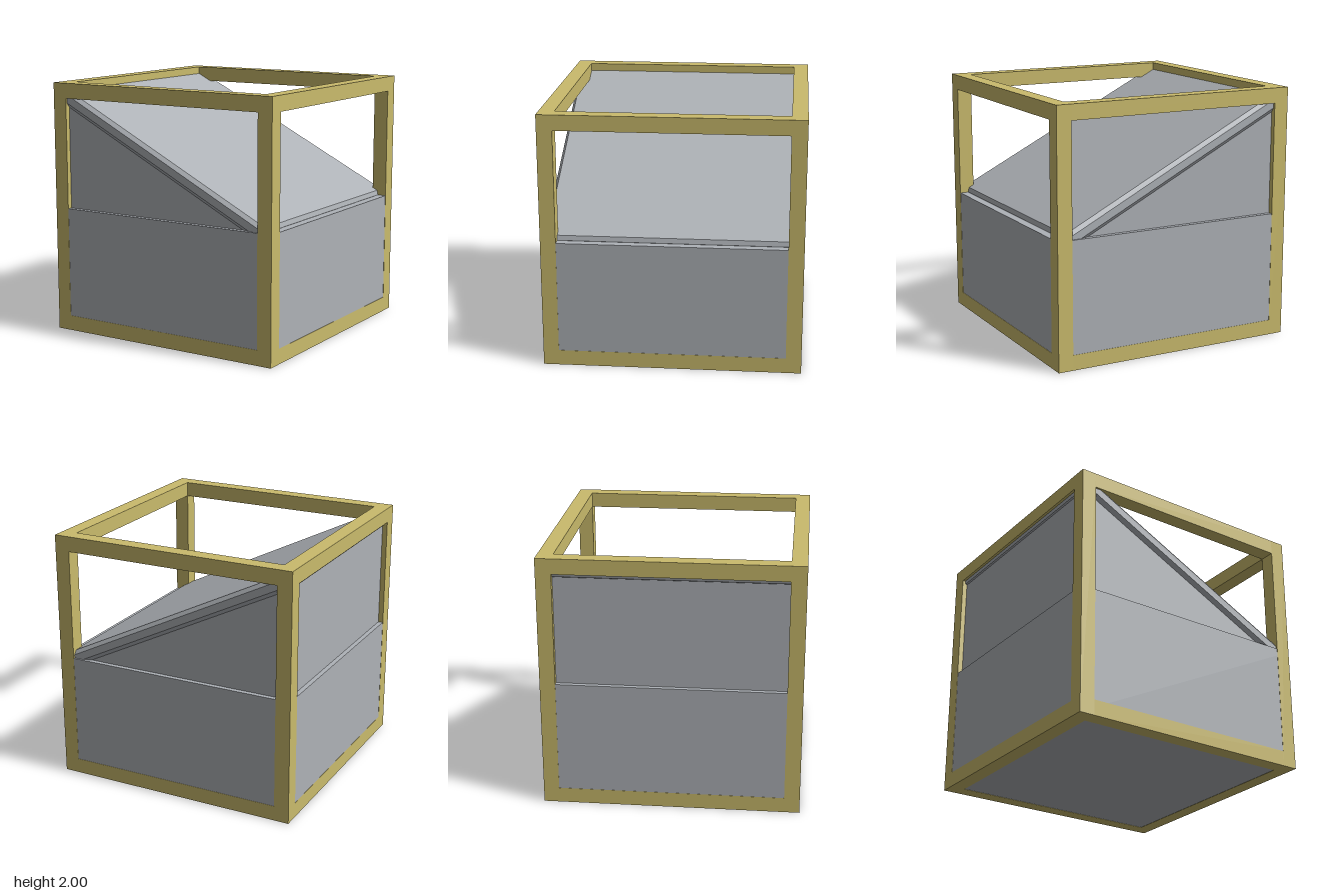
import * as THREE from 'three';

export function createModel() {
  const model = new THREE.Group();
  const gold = new THREE.MeshStandardMaterial({ color: 0xcabb6c });
  gold.name = 'gold frame';
  const grey = new THREE.MeshStandardMaterial({ color: 0xaeb2b7 });
  grey.name = 'grey metal';

  const add = (parent, name, geometry, material, x = 0, y = 0, z = 0) => {
    const mesh = new THREE.Mesh(geometry, material);
    mesh.name = name;
    mesh.position.set(x, y, z);
    parent.add(mesh);
    return mesh;
  };

  // Open cube frame: four posts with rails between them
  const bar = 0.12, mid = 1 - bar / 2, span = 2 - 2 * bar;
  const frame = new THREE.Group();
  frame.name = 'frame';
  model.add(frame);
  for (const a of [-1, 1]) {
    for (const b of [-1, 1]) {
      add(frame, 'post', new THREE.BoxGeometry(bar, 2, bar), gold, a * mid, 1, b * mid);
      add(frame, 'railX', new THREE.BoxGeometry(span, bar, bar), gold, 0, 1 + a * mid, b * mid);
      add(frame, 'railZ', new THREE.BoxGeometry(bar, bar, span), gold, a * mid, 1 + b * mid, 0);
    }
  }

  // Solid lower half, a hair inside the frame faces
  add(model, 'base', new THREE.BoxGeometry(1.996, 0.998, 1.996), grey, 0, 0.501, 0);

  // Wedge under the slope
  const wedge = new THREE.Shape([
    new THREE.Vector2(-0.96, 0.99),
    new THREE.Vector2(0.84, 0.99),
    new THREE.Vector2(-0.96, 1.89),
  ]);
  add(model, 'wedge',
    new THREE.ExtrudeGeometry(wedge, { depth: 1.92, bevelEnabled: false }), grey, 0, 0, -0.96);

  // Bevelled slab lying on the slope
  const hl = 1.029, hw = 0.96;
  const outline = new THREE.Shape([
    new THREE.Vector2(-hl, -hw),
    new THREE.Vector2(hl, -hw),
    new THREE.Vector2(hl, hw),
    new THREE.Vector2(-hl, hw),
  ]);
  const slab = new THREE.ExtrudeGeometry(outline, {
    depth: 0.058, bevelThickness: 0.03, bevelSize: 0.025, bevelSegments: 1,
  });
  slab.rotateX(-Math.PI / 2);
  slab.rotateZ(-Math.atan(0.5));
  add(model, 'slopeSlab', slab, grey, -0.039, 1.421, 0);

  return model;
}
